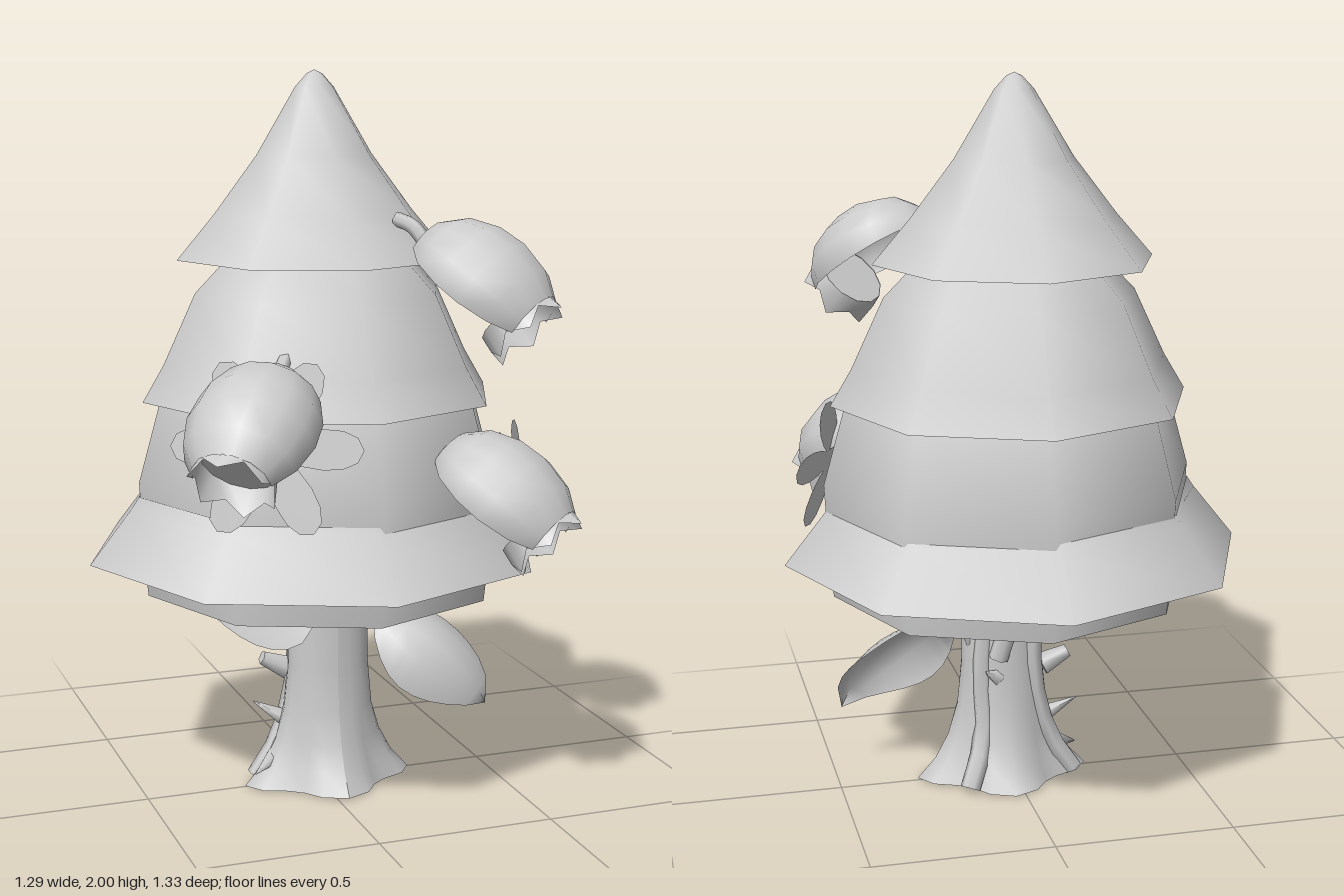
import * as THREE from 'three';
import { ParametricGeometry } from 'three/addons/geometries/ParametricGeometry.js';

const V = (x, y, z) => new THREE.Vector3(x, y, z);

export function createModel() {
  const root = new THREE.Group();
  const grey = new THREE.MeshStandardMaterial({ color: 0xcccccc, side: THREE.DoubleSide });
  grey.name = 'plain grey';

  const add = (name, geometry, parent = root) => {
    const mesh = new THREE.Mesh(geometry, grey);
    mesh.name = name;
    parent.add(mesh);
    return mesh;
  };
  const lathe = (pts, segments, start = 0, length = Math.PI * 2) =>
    new THREE.LatheGeometry(pts.map(p => new THREE.Vector2(p[0], p[1])), segments, start, length);
  const tube = (pts, radius, sides = 6) =>
    new THREE.TubeGeometry(new THREE.CatmullRomCurve3(pts), 8, radius, sides);

  // Crown: eight-sided overlapping tiers, open underneath
  const tiers = {
    crownBody: [[0.497, 0.58], [0.507, 0.68], [0.518, 0.9], [0.45, 1.14], [0.36, 1.26], [0.2, 1.4], [0, 1.46]],
    lowerSkirt: [[0.645, 0.68], [0.525, 0.83], [0.505, 0.86]],
    middleTier: [[0.5, 1.12], [0.44, 1.22], [0.35, 1.41], [0.26, 1.5], [0.19, 1.56]],
    topCone: [[0.39, 1.5], [0.285, 1.62], [0.165, 1.775], [0.055, 1.955], [0.022, 1.99], [0, 2]],
  };
  const tierX = { crownBody: 0.014, lowerSkirt: 0, middleTier: 0.01, topCone: 0 };
  for (const [name, pts] of Object.entries(tiers)) {
    add(name, lathe(pts, 8)).position.set(tierX[name], 0, -0.022);
  }

  // Trunk: flattened column spreading into root lobes
  const trunk = lathe(
    [[0.24, 0], [0.19, 0.06], [0.155, 0.13], [0.13, 0.22], [0.117, 0.35], [0.117, 0.8]], 20);
  const p = trunk.attributes.position;
  for (let i = 0; i < p.count; i++) {
    const x = p.getX(i), y = p.getY(i), z = p.getZ(i);
    const flare = Math.max(0, 1 - y / 0.25);
    const lobe = 1 + 0.16 * flare * (Math.cos(4 * Math.atan2(x, z)) - 0.8);
    p.setXYZ(i, 0.03 + x * lobe, y, 0.005 + z * lobe * 0.75);
  }
  trunk.computeVertexNormals();
  add('trunk', trunk);

  // Woody strands up the back and left of the trunk
  const strands = [
    [[-0.17, 0.01, -0.04], [-0.1, 0.12, -0.04], [-0.05, 0.3, -0.05], [-0.05, 0.75, -0.05]],
    [[0.15, 0.01, -0.12], [0.1, 0.14, -0.07], [0.1, 0.35, -0.05], [0.06, 0.75, -0.06]],
    [[0.06, 0.38, -0.08], [0.03, 0.48, -0.09], [-0.02, 0.6, -0.09], [-0.1, 0.75, -0.09]],
  ];
  strands.forEach(s => add('trunkStrand', tube(s.map(q => V(...q)), 0.029)));

  // Thorns and twig stubs
  const spike = (name, from, to, r0, r1) => {
    const dir = to.clone().sub(from);
    const mesh = add(name, new THREE.CylinderGeometry(r1, r0, dir.length(), 5));
    mesh.position.copy(from).addScaledVector(dir, 0.5);
    mesh.quaternion.setFromUnitVectors(V(0, 1, 0), dir.normalize());
  };
  spike('twigStub', V(-0.08, 0.33, -0.03), V(-0.155, 0.365, -0.03), 0.035, 0.02);
  spike('thorn', V(-0.09, 0.18, -0.03), V(-0.175, 0.23, -0.05), 0.025, 0.002);
  spike('thorn', V(-0.13, 0.08, 0), V(-0.2, 0.05, 0.05), 0.025, 0.002);
  spike('thorn', V(0.06, 0.32, -0.07), V(0.1, 0.35, -0.1), 0.025, 0.002);

  // Large leaves: spine, half-width vector and a cupped cross-section
  const leaf = (name, base, tip, half, cup) => {
    const normal = tip.clone().sub(base).cross(half).normalize();
    const surface = (u, v, out) => {
      const w = Math.pow(Math.max(0, Math.sin(Math.PI * Math.pow(u, 0.9))), 0.7);
      const s = (v * 2 - 1) * w;
      out.copy(base).lerp(tip, u).addScaledVector(half, s)
        .addScaledVector(normal, cup * (w - s * s));
    };
    add(name, new ParametricGeometry(surface, 9, 4));
  };
  leaf('rightLeaf', V(0.18, 0.46, -0.03), V(0.48, 0.2, 0.1), V(0.1, 0.07, -0.065), 0.085);
  leaf('leftLeaf', V(-0.05, 0.51, 0.14), V(-0.42, 0.69, 0.02), V(0.03, 0.11, -0.12), 0.02);
  add('leafStem', tube([V(0.12, 0.39, -0.02), V(0.15, 0.45, -0.03), V(0.21, 0.47, -0.03)], 0.013));

  // Bell ornaments: shallow half dome, toothed mouth tucked under it and a stem
  const bellProfile = [[0.105, -0.185], [0.15, -0.125], [0.172, -0.04], [0.167, 0.04],
    [0.135, 0.12], [0.08, 0.172], [0, 0.195]];
  const tilt = 0.58;
  const bell = (x, y, z, heading) => {
    const group = new THREE.Group();
    group.name = 'bell';
    const h = V(Math.sin(heading), 0, Math.cos(heading)), up = V(0, 1, 0);
    const axisY = h.clone().multiplyScalar(-Math.cos(tilt)).addScaledVector(up, Math.sin(tilt));
    const axisZ = h.clone().multiplyScalar(Math.sin(tilt)).addScaledVector(up, Math.cos(tilt));
    const axisX = axisY.clone().cross(axisZ);
    group.quaternion.setFromRotationMatrix(new THREE.Matrix4().makeBasis(axisX, axisY, axisZ));
    group.position.set(x, y, z);
    add('bellDome', lathe(bellProfile, 7, -1.62, 3.24), group).scale.z = 0.9;
    const mouth = new THREE.CylinderGeometry(0.1, 0.106, 0.045, 12, 1, true);
    const mp = mouth.attributes.position;
    for (let i = 13; i < 26; i++) {
      if (i % 2) mp.setXYZ(i, mp.getX(i) * 1.08, mp.getY(i) - 0.035, mp.getZ(i) * 1.08);
    }
    mouth.computeVertexNormals();
    const ring = add('bellMouth', mouth, group);
    ring.position.set(0, -0.148, -0.008);
    ring.rotation.x = 0.2;
    const throat = add('bellThroat', new THREE.CircleGeometry(0.1, 12), ring);
    throat.position.y = 0.02;
    throat.rotation.x = Math.PI / 2;
    add('bellStem', tube([V(0, 0.18, 0), V(0, 0.235, 0.012), V(0, 0.285, 0)], 0.02), group);
    root.add(group);
  };
  bell(0.3, 1.46, 0.395, 0.7);
  bell(-0.32, 1.125, 0.45, -0.7);
  bell(0.345, 0.905, 0.45, 0.7);

  // Flat six-petal rosettes behind the two lower bells
  const petal = new THREE.Shape();
  petal.moveTo(0, 0);
  petal.bezierCurveTo(0.06, 0.06, 0.08, 0.245, 0, 0.25);
  petal.bezierCurveTo(-0.08, 0.245, -0.06, 0.06, 0, 0);
  const rosette = (center, normal, size) => {
    const group = new THREE.Group();
    group.name = 'rosette';
    group.position.copy(center);
    group.lookAt(center.clone().add(normal));
    group.scale.setScalar(size);
    for (let i = 0; i < 6; i++) {
      const m = add('petal', new THREE.ShapeGeometry(petal, 6), group);
      m.rotation.z = (i + 0.5) * Math.PI / 3;
    }
    root.add(group);
  };
  rosette(V(-0.27, 1.06, 0.385), V(-0.44, 0.15, 0.88), 1);
  rosette(V(0.45, 0.875, 0.36), V(0.78, 0.2, 0.58), 0.88);

  return root;
}
